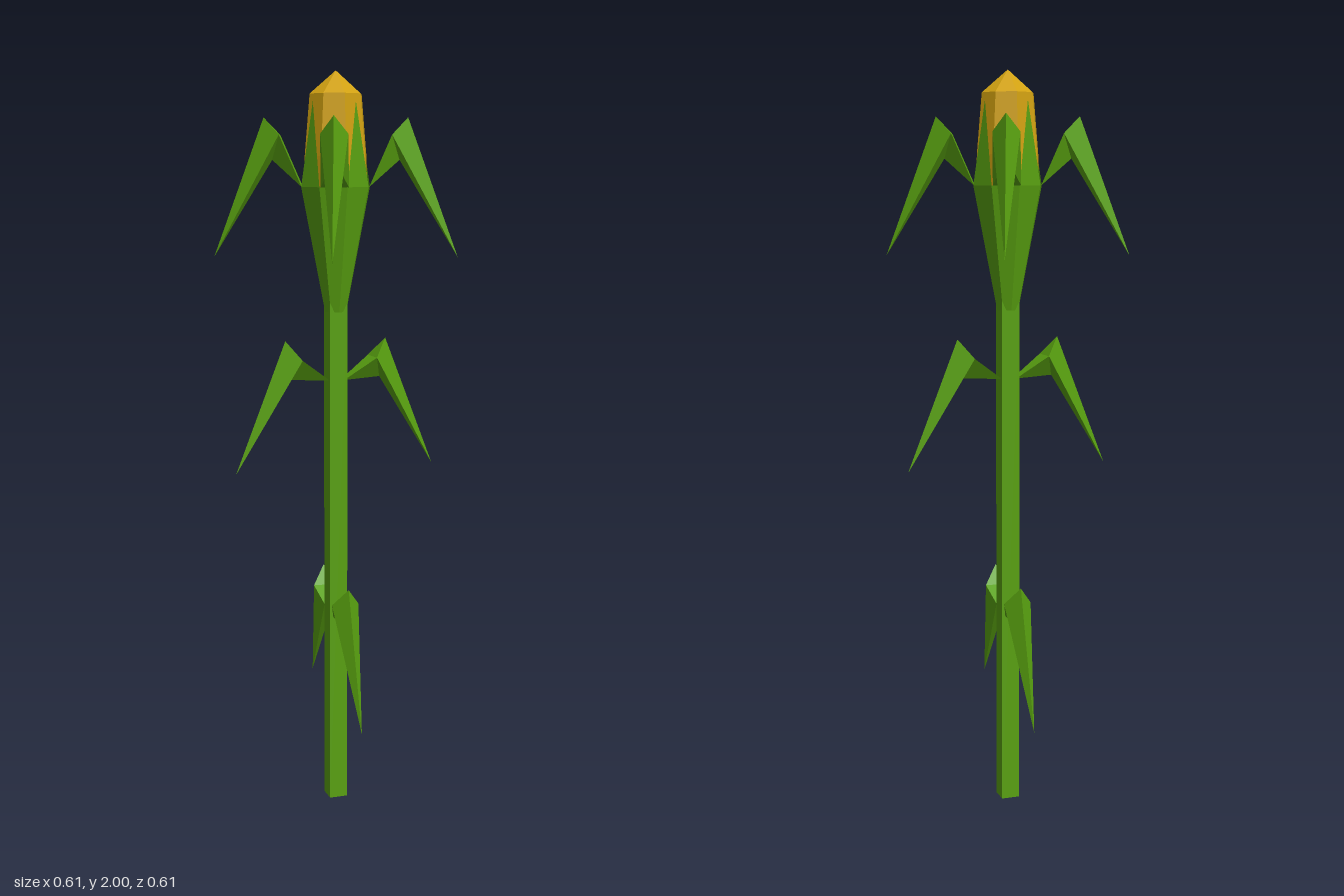
import * as THREE from 'three';

const green = new THREE.MeshStandardMaterial({ color: 0x58a010, flatShading: true, side: THREE.DoubleSide });
const yellow = new THREE.MeshStandardMaterial({ color: 0xd0a010, flatShading: true, side: THREE.DoubleSide });

function add(group, name, geometry, material) {
  const mesh = new THREE.Mesh(geometry, material);
  mesh.name = name;
  group.add(mesh);
  return mesh;
}

function fromTriangles(points, triangles) {
  const geo = new THREE.BufferGeometry();
  geo.setAttribute('position', new THREE.Float32BufferAttribute(triangles.flat().flatMap((k) => points[k]), 3));
  geo.computeVertexNormals();
  return geo;
}

// Bent leaf pointing along +x: base edge, diamond-shaped elbow, drooping tip.
// Each entry is [reach, height]; w is a half width.
function leafGeometry({ base, baseW, side, sideW, ridge, under, tip }) {
  const p = {
    L: [base[0], base[1], -baseW], R: [base[0], base[1], baseW],
    A: [side[0], side[1], -sideW], B: [side[0], side[1], sideW],
    T: [ridge[0], ridge[1], 0], U: [under[0], under[1], 0], E: [tip[0], tip[1], 0],
  };
  const faces = ['LRB', 'LBA', 'ABT', 'BET', 'ATE', 'BUE', 'AEU', 'RUB', 'LAU', 'LUR'];
  return fromTriangles(p, faces.map((f) => [...f]));
}

export function createModel() {
  const model = new THREE.Group();
  model.name = 'cornPlant';

  // Square stalk
  const stalk = add(model, 'stalk', new THREE.BoxGeometry(0.05, 1.4, 0.05), green);
  stalk.position.y = 0.7;

  // Eight-sided cob with a pointed top
  const profile = [[0.02, 1.42], [0.088, 1.7], [0.086, 1.78], [0.072, 1.94], [0, 2]];
  add(model, 'cob', new THREE.LatheGeometry(profile.map(([r, y]) => new THREE.Vector2(r, y)), 8), yellow);

  // Open husk cup around the cob
  const cup = add(model, 'huskCup', new THREE.CylinderGeometry(0.096, 0.03, 0.33, 8, 1, true), green);
  cup.position.y = 1.535;

  // Husk leaves: upright points alternate with drooping leaves
  const ring = 0.096, half = Math.PI / 8;
  const flat = ring * Math.cos(half), edge = ring * Math.sin(half);
  const pointGeo = fromTriangles(
    { L: [flat, 1.7, -edge], R: [flat, 1.7, edge], T: [0.079, 1.92, 0] }, [['L', 'T', 'R']]);
  const droopGeo = leafGeometry({
    base: [flat, 1.7], baseW: edge, side: [0.148, 1.835], sideW: 0.036,
    ridge: [0.19, 1.88], under: [0.168, 1.77], tip: [0.325, 1.515],
  });
  for (let i = 0; i < 4; i++) {
    const turn = (i * Math.PI) / 2;
    add(model, 'huskPoint', pointGeo, green).rotation.y = -(turn + 3 * half);
    add(model, 'huskLeaf', droopGeo, green).rotation.y = -(turn + half * 0.9);
  }

  // Two opposite pairs of stalk leaves
  const stalkLeafGeo = leafGeometry({
    base: [0.02, 0], baseW: 0.012, side: [0.105, 0.06], sideW: 0.037,
    ridge: [0.142, 0.11], under: [0.125, 0.005], tip: [0.282, -0.245],
  });
  for (const [y, azimuth] of [[1.185, 0], [0.525, Math.PI / 2 + 0.08]]) {
    for (const turn of [0, Math.PI]) {
      const leaf = add(model, 'stalkLeaf', stalkLeafGeo, green);
      leaf.position.y = y;
      leaf.rotation.y = -(azimuth + turn);
    }
  }
  return model;
}
